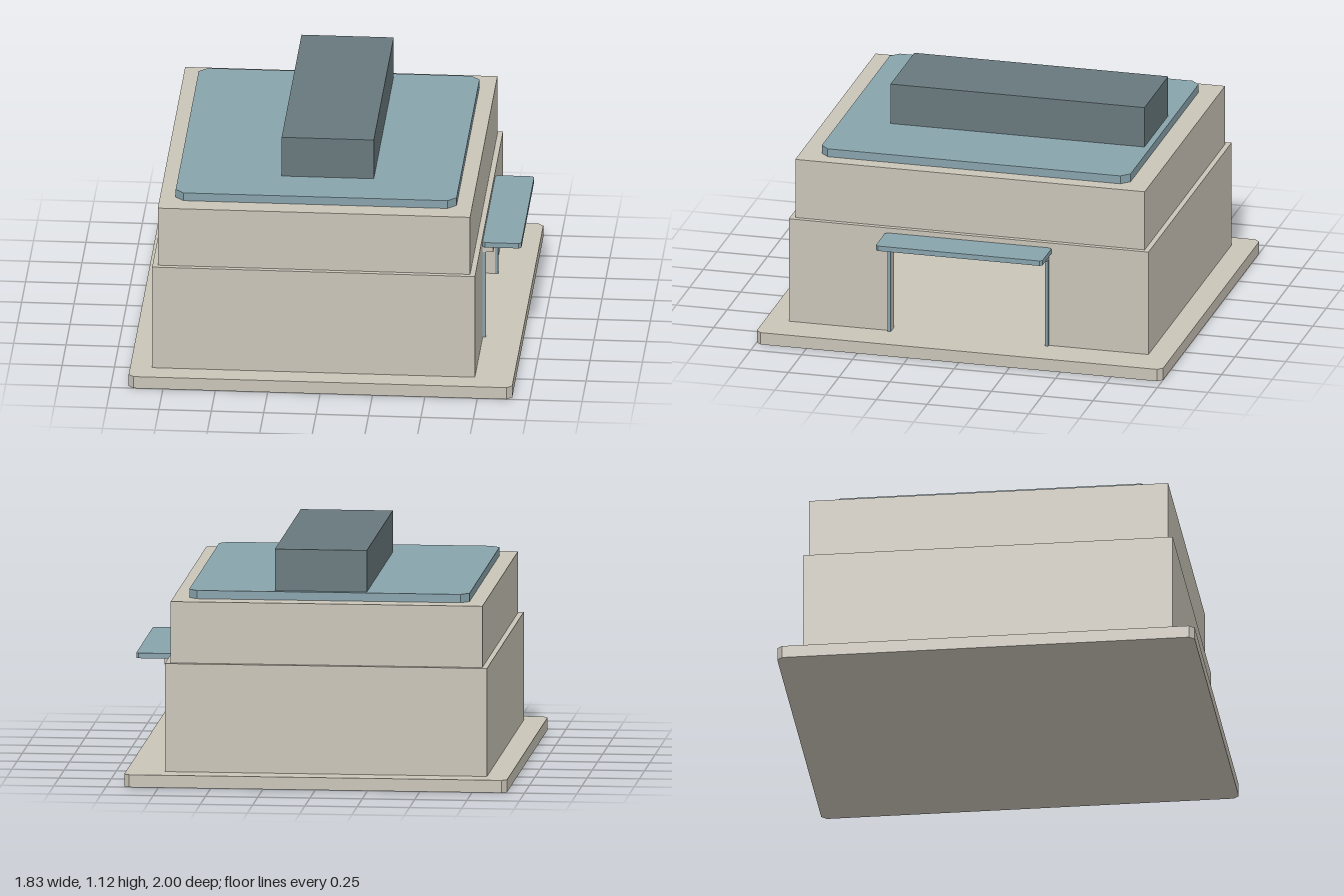
import * as THREE from 'three';

const stone = new THREE.MeshStandardMaterial({ color: 0xcac4b8, name: 'stone' });
const blue = new THREE.MeshStandardMaterial({ color: 0x88a3ac, name: 'slateBlue' });
const grey = new THREE.MeshStandardMaterial({ color: 0x68787d, name: 'darkGrey' });

export function createModel() {
  const model = new THREE.Group();
  model.name = 'building';

  const add = (name, geometry, material) => {
    const mesh = new THREE.Mesh(geometry, material);
    mesh.name = name;
    model.add(mesh);
    return mesh;
  };

  // Box given by its limits on each axis
  const box = (name, material, [x0, x1], [y0, y1], [z0, z1]) =>
    add(name, new THREE.BoxGeometry(x1 - x0, y1 - y0, z1 - z0), material)
      .position.set((x0 + x1) / 2, (y0 + y1) / 2, (z0 + z1) / 2);

  // Flat slab with chamfered corners, symmetric in z
  const slab = (name, material, [x0, x1], [y0, y1], z, c) => {
    const shape = new THREE.Shape([
      [x0 + c, -z], [x1 - c, -z], [x1, -z + c], [x1, z - c],
      [x1 - c, z], [x0 + c, z], [x0, z - c], [x0, -z + c],
    ].map(([x, y]) => new THREE.Vector2(x, y)));
    const g = new THREE.ExtrudeGeometry(shape, { depth: y1 - y0, bevelEnabled: false });
    g.rotateX(-Math.PI / 2);
    g.translate(0, y0, 0);
    add(name, g, material);
  };

  slab('basePlate', stone, [-0.915, 0.915], [0, 0.06], 1, 0.025);

  // Hollow ground floor, with a wide doorway in the +x wall
  const t = 0.05, y = [0.06, 0.58];
  box('frontWall', stone, [-0.81, 0.73], y, [0.885 - t, 0.885]);
  box('backWall', stone, [-0.81, 0.73], y, [-0.885, -0.885 + t]);
  box('rightWall', stone, [-0.81, -0.81 + t], y, [-0.885 + t, 0.885 - t]);
  const w = 0.885 - t, d = 0.38;
  const wall = new THREE.Shape([
    [-w, 0.06], [-d, 0.06], [-d, 0.5], [d, 0.5],
    [d, 0.06], [w, 0.06], [w, 0.58], [-w, 0.58],
  ].map(([a, b]) => new THREE.Vector2(a, b)));
  const doorWall = new THREE.ExtrudeGeometry(wall, { depth: t, bevelEnabled: false });
  doorWall.rotateY(Math.PI / 2);
  doorWall.translate(0.73 - t, 0, 0);
  add('doorwayWall', doorWall, stone);
  box('ceiling', stone, [-0.81 + t, 0.73 - t], [0.56, 0.58], [-w, w]);

  // Upper storey, roof slab and rooftop unit
  box('upperStorey', stone, [-0.785, 0.705], [0.58, 0.875], [-0.86, 0.86]);
  slab('roofSlab', blue, [-0.71, 0.63], [0.875, 0.915], 0.76, 0.04);
  box('rooftopUnit', grey, [-0.22, 0.22], [0.915, 1.115], [-0.73, 0.52]);

  // Doorway frame and canopy
  for (const s of [-1, 1]) {
    const z = [s * 0.38, s * 0.395].sort((a, b) => a - b);
    box('doorJamb', blue, [0.73, 0.745], [0.06, 0.5], z);
  }
  box('lintel', stone, [0.73, 0.78], [0.5, 0.53], [-0.395, 0.395]);
  slab('canopy', blue, [0.73, 0.915], [0.53, 0.555], 0.41, 0.012);

  return model;
}
